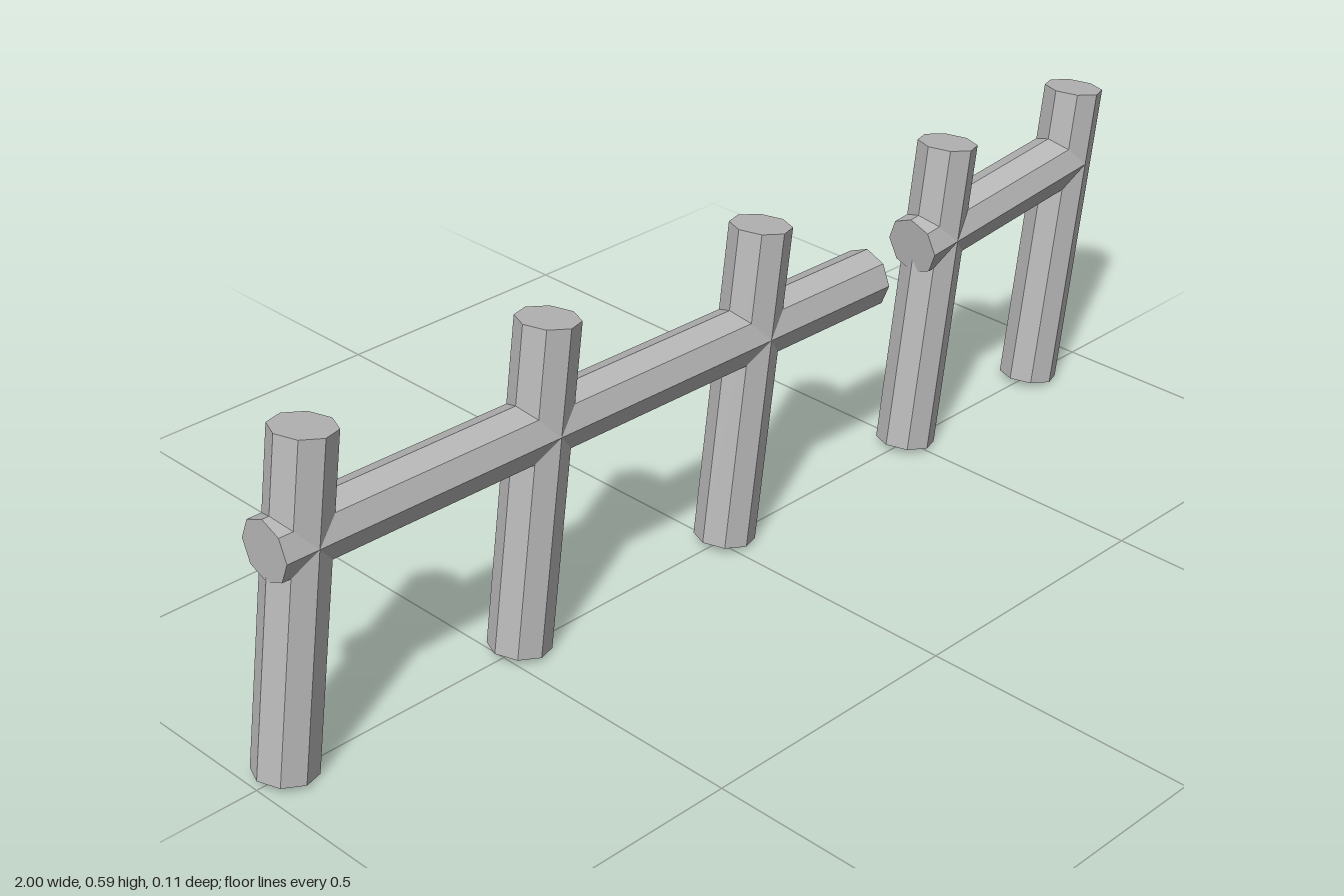
import * as THREE from 'three';

const RADIUS = 0.054;

export function createModel() {
  const model = new THREE.Group();
  model.name = 'brokenFence';
  const grey = new THREE.MeshStandardMaterial({ color: 0xb8b8b8, flatShading: true });
  grey.name = 'grey';

  // Octagonal pole between two points in the z = 0 plane
  function pole(name, x0, y0, x1, y1) {
    const length = Math.hypot(x1 - x0, y1 - y0);
    const mesh = new THREE.Mesh(new THREE.CylinderGeometry(RADIUS, RADIUS, length, 8), grey);
    mesh.name = name;
    mesh.position.set((x0 + x1) / 2, (y0 + y1) / 2, 0);
    mesh.rotation.z = -Math.atan2(x1 - x0, y1 - y0);
    model.add(mesh);
  }

  // Leaning posts
  [-0.945, -0.465, 0.015, 0.496, 0.858].forEach((x, i) => {
    pole(`post${i + 1}`, x, 0.008, x + 0.087, 0.58);
  });

  // Rails with a gap between them
  pole('longRail', -0.945, 0.404, 0.373, 0.387);
  pole('shortRail', 0.495, 0.405, 0.922, 0.446);

  return model;
}
